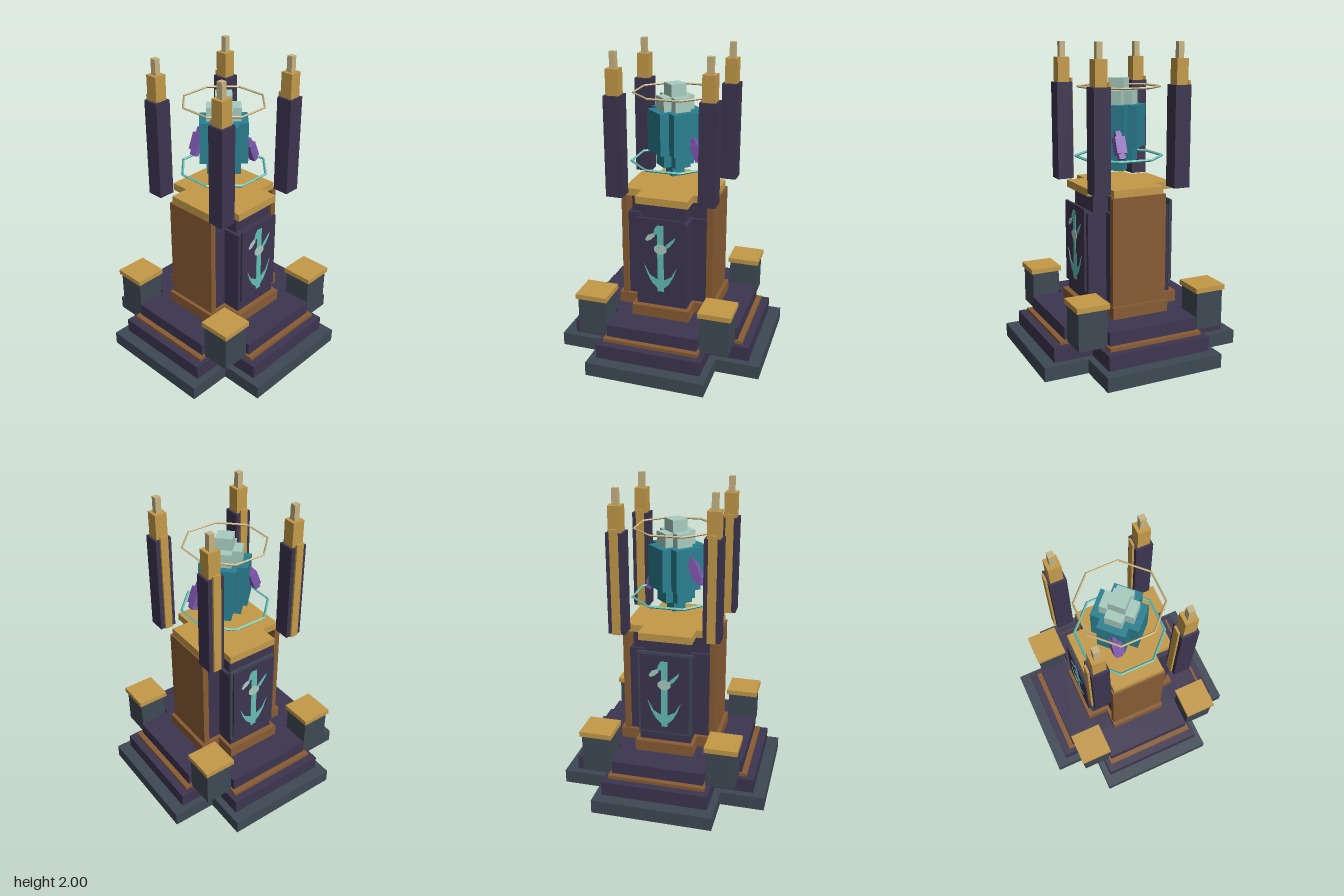
import * as THREE from 'three';

const mat = (name, color, extra = {}) => {
  const m = new THREE.MeshStandardMaterial({ color, ...extra });
  m.name = name;
  return m;
};

export function createModel() {
  const slate = mat('slate', 0x3e4954);
  const plum = mat('dark plum', 0x3d3550);
  const gold = mat('gold', 0xc49a48);
  const bronze = mat('bronze', 0x885c34);
  const teal = mat('teal crystal', 0x2a8090);
  const pale = mat('pale crystal', 0xa8ccc0);
  const sand = mat('sand', 0xc8b482);
  const aqua = mat('aqua', 0x64c0b6);
  const violet = mat('violet', 0x8058b0);

  const root = new THREE.Group();
  root.name = 'crystalShrine';

  const add = (parent, name, geo, material) => {
    const m = new THREE.Mesh(geo, material);
    m.name = name;
    parent.add(m);
    return m;
  };
  // box centred on x, z with half sizes and a bottom and top height
  const box = (parent, name, material, x, z, hx, hz, y0, y1) => {
    const m = add(parent, name, new THREE.BoxGeometry(hx * 2, y1 - y0, hz * 2), material);
    m.position.set(x, (y0 + y1) / 2, z);
    return m;
  };
  // plus-shaped prism: arm reach a, arm half width b
  const plus = (parent, name, material, a, b, y0, y1) => {
    const s = new THREE.Shape([
      [a, -b], [a, b], [b, b], [b, a], [-b, a], [-b, b],
      [-a, b], [-a, -b], [-b, -b], [-b, -a], [b, -a], [b, -b],
    ].map(([x, y]) => new THREE.Vector2(x, y)));
    const g = new THREE.ExtrudeGeometry(s, { depth: y1 - y0, bevelEnabled: false });
    g.rotateX(-Math.PI / 2).translate(0, y0, 0);
    return add(parent, name, g, material);
  };

  // stepped base and column
  plus(root, 'baseStep', slate, 0.675, 0.39, 0, 0.09);
  plus(root, 'secondStep', plum, 0.597, 0.345, 0.09, 0.185);
  plus(root, 'stepTrim', bronze, 0.547, 0.315, 0.185, 0.207);
  plus(root, 'thirdStep', plum, 0.512, 0.3, 0.207, 0.29);
  plus(root, 'columnFoot', bronze, 0.33, 0.192, 0.29, 0.365);
  plus(root, 'columnLower', plum, 0.292, 0.168, 0.365, 0.95);
  plus(root, 'columnUpper', plum, 0.247, 0.145, 0.95, 1.062);
  plus(root, 'columnCap', gold, 0.295, 0.172, 1.062, 1.11);
  for (const s of [-1, 1]) {
    box(root, 'sidePlate', bronze, s * 0.286, 0, 0.02, 0.185, 0.365, 1.062);
  }

  // carved panels with a sprouting emblem, front and back
  const stem = [[-0.02, 0.94], [0.022, 0.94], [0.022, 0.48], [-0.02, 0.48], [-0.02, 0.88], [-0.05, 0.87], [-0.035, 0.92]];
  const barb = [[-0.11, 0.665], [-0.07, 0.59], [-0.018, 0.56], [-0.018, 0.5], [-0.055, 0.535], [-0.085, 0.59]];
  const twig = [[0.03, 0.78], [0.03, 0.805], [0.06, 0.835], [0.1, 0.872], [0.092, 0.845], [0.06, 0.8]];
  const leaf = [[-0.1, 0.84], [-0.08, 0.87], [-0.045, 0.885], [-0.035, 0.865], [-0.06, 0.84], [-0.09, 0.825]];
  const disc = [...Array(8)].map((_, i) => {
    const t = (i + 0.5) * Math.PI / 4;
    return [Math.cos(t) * 0.044, 0.778 + Math.sin(t) * 0.036];
  });
  const plate = (parent, name, pts, material, z, flip = 1) => {
    const s = new THREE.Shape(pts.map(([x, y]) => new THREE.Vector2(x * flip, y)));
    const g = new THREE.ExtrudeGeometry(s, { depth: 0.003, bevelEnabled: false });
    add(parent, name, g, material).position.z = z;
  };
  for (const back of [false, true]) {
    const p = new THREE.Group();
    p.name = back ? 'backPanel' : 'frontPanel';
    box(p, 'panelBoard', plum, 0, 0.307, 0.158, 0.007, 0.44, 0.98);
    if (back) box(p, 'panelFrame', slate, 0, 0.292, 0.175, 0.008, 0.42, 0.99);
    plate(p, 'emblemStem', stem, aqua, 0.314);
    plate(p, 'emblemBarb', barb, aqua, 0.314);
    plate(p, 'emblemBarb', barb, aqua, 0.314, -1);
    plate(p, 'emblemTwig', twig, aqua, 0.314);
    plate(p, 'emblemLeaf', leaf, pale, 0.315);
    plate(p, 'emblemDisc', disc, pale, 0.3155);
    if (back) p.rotation.y = Math.PI;
    root.add(p);
  }

  // corner blocks and hovering pillars
  for (const sx of [-1, 1]) for (const sz of [-1, 1]) {
    const x = sx * 0.405, z = sz * 0.405;
    box(root, 'cornerBlock', slate, x, z, 0.093, 0.093, 0.2, 0.445);
    box(root, 'cornerBlockCap', gold, x, z, 0.105, 0.105, 0.445, 0.478);

    const px = sx * 0.298, pz = sz * 0.272;
    box(root, 'pillar', plum, px, pz, 0.054, 0.054, 1.1, 1.74);
    box(root, 'pillarStrip', gold, px, pz - 0.06, 0.026, 0.007, 1.1, 1.765);
    box(root, 'pillarTop', gold, px, pz, 0.04, 0.04, 1.74, 1.9);
    box(root, 'pillarFinial', sand, px, pz, 0.019, 0.019, 1.9, 2);
  }

  // floating crystal, turned to the diagonals
  const crystal = new THREE.Group();
  crystal.name = 'crystal';
  crystal.rotation.y = Math.PI / 4;
  box(crystal, 'crystalTip', teal, 0, 0, 0.044, 0.044, 1.18, 1.25);
  plus(crystal, 'crystalLower', teal, 0.108, 0.054, 1.25, 1.34);
  plus(crystal, 'crystalBody', teal, 0.151, 0.089, 1.34, 1.61);
  plus(crystal, 'crystalUpper', pale, 0.108, 0.054, 1.61, 1.698);
  box(crystal, 'crystalCrown', pale, 0, 0, 0.052, 0.052, 1.698, 1.775);
  root.add(crystal);

  // octagonal rings
  const ring = (name, material, flat, tube, y) => {
    const g = new THREE.TorusGeometry(flat / Math.cos(Math.PI / 8), tube, 4, 8).toNonIndexed();
    g.rotateZ(Math.PI / 8).rotateX(Math.PI / 2);
    g.computeVertexNormals();
    add(root, name, g, material).position.y = y;
  };
  ring('lowerRing', aqua, 0.26, 0.009, 1.275);
  ring('upperRing', sand, 0.244, 0.007, 1.72);

  // small violet shards leaning against the crystal
  const shard = (x, y, z, tilt) => {
    const s = new THREE.Group();
    s.name = 'shard';
    box(s, 'shardBody', violet, 0, 0, 0.027, 0.034, -0.055, 0.055);
    box(s, 'shardTop', violet, 0, 0, 0.016, 0.02, 0.055, 0.092);
    box(s, 'shardBottom', violet, 0, 0, 0.018, 0.022, -0.088, -0.055);
    s.position.set(x, y, z);
    s.rotation.z = tilt;
    root.add(s);
  };
  shard(0.17, 1.365, 0.075, 0.38);
  shard(-0.145, 1.47, -0.085, -0.38);

  return root;
}
